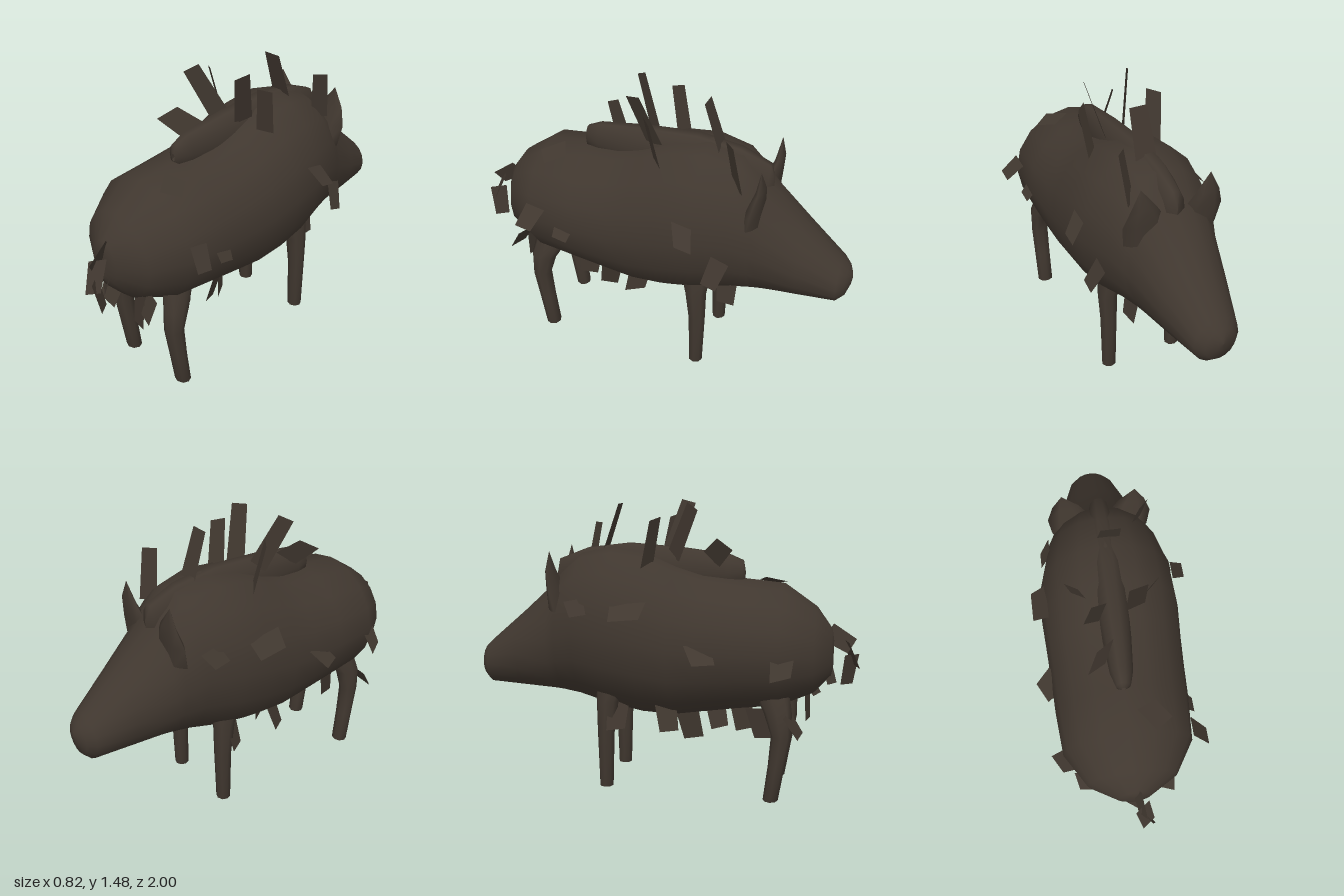
import * as THREE from 'three';

const hide = new THREE.MeshStandardMaterial({ color: 0x40372f, side: THREE.DoubleSide });
hide.name = 'dark brown hide';

// Skin a list of rings, each a function of angle giving a point
function loft(rings, sides) {
  const pos = [], index = [];
  rings.forEach((ring, i) => {
    for (let j = 0; j < sides; j++) {
      pos.push(...ring((j / sides) * Math.PI * 2));
      if (i === rings.length - 1) continue;
      const a = i * sides + j, b = i * sides + (j + 1) % sides;
      index.push(a, a + sides, b, b, a + sides, b + sides);
    }
  });
  const geo = new THREE.BufferGeometry();
  geo.setAttribute('position', new THREE.Float32BufferAttribute(pos, 3));
  geo.setIndex(index);
  geo.computeVertexNormals();
  return geo;
}

// Upright section across z: [z, top, bottom, halfWidth]
const section = ([z, top, bottom, w]) => (a) =>
  [Math.cos(a) * w, (top + bottom) / 2 + Math.sin(a) * (top - bottom) / 2, z];

// Level section: [x, y, z, rx, rz]
const slice = ([x, y, z, rx, rz]) => (a) => [x + Math.cos(a) * rx, y, z + Math.sin(a) * rz];

// Flat tapered bristle from base to tip; side is the half-width vector
function tuftGeometry(base, tip, side) {
  const b = new THREE.Vector3(...base), t = new THREE.Vector3(...tip), s = new THREE.Vector3(...side);
  const p = [b.clone().sub(s), b.clone().add(s),
    t.clone().addScaledVector(s, 0.8), t.clone().addScaledVector(s, -0.9)];
  const geo = new THREE.BufferGeometry().setFromPoints(p);
  geo.setIndex([0, 1, 2, 0, 2, 3]);
  geo.computeVertexNormals();
  return geo;
}

export function createModel() {
  const model = new THREE.Group();
  const add = (name, geo) => {
    const mesh = new THREE.Mesh(geo, hide);
    mesh.name = name;
    model.add(mesh);
    return mesh;
  };

  // Body, humped shoulders and long wedge head, rump to snout
  add('bodyAndHead', loft([
    [0.87, 0.8, 0.66, 0], [0.86, 0.86, 0.62, 0.08], [0.78, 0.97, 0.53, 0.22],
    [0.62, 1.08, 0.46, 0.32], [0.4, 1.1, 0.43, 0.335], [0.22, 1.125, 0.4, 0.34],
    [0.08, 1.17, 0.375, 0.345], [-0.08, 1.235, 0.38, 0.352], [-0.25, 1.255, 0.41, 0.34],
    [-0.42, 1.22, 0.455, 0.29], [-0.52, 1.13, 0.47, 0.25], [-0.57, 1.06, 0.475, 0.23],
    [-0.75, 0.895, 0.485, 0.178], [-0.94, 0.73, 0.495, 0.118], [-0.975, 0.695, 0.53, 0.08],
    [-0.995, 0.66, 0.59, 0.025], [-1, 0.63, 0.63, 0],
  ].map(section), 16));

  // Narrow mane ridge along the spine
  add('maneRidge', loft([
    [0.42, 1.14, 1.1, 0.01], [0.41, 1.19, 1.07, 0.035], [0.34, 1.22, 1.03, 0.055],
    [0.1, 1.25, 1.0, 0.075], [-0.18, 1.268, 1.0, 0.085], [-0.4, 1.24, 0.98, 0.07],
    [-0.55, 1.18, 0.94, 0.05], [-0.57, 1.1, 0.98, 0],
  ].map(section), 10));

  for (const s of [-1, 1]) {
    const side = s > 0 ? 'left' : 'right';
    const x = 0.19 * s + 0.012;
    // Legs, hoof to hip
    add(side + 'FrontLeg', loft([
      [x, 0.01, -0.265, 0, 0], [x, 0.012, -0.265, 0.038, 0.036],
      [x, 0.3, -0.265, 0.043, 0.045], [x, 0.47, -0.255, 0.05, 0.058],
      [x - 0.02 * s, 0.6, -0.24, 0.05, 0.09],
    ].map(slice), 8));
    add(side + 'HindLeg', loft([
      [x, 0, 0.59, 0, 0], [x, 0.002, 0.59, 0.043, 0.038],
      [x, 0.18, 0.615, 0.045, 0.042], [x, 0.34, 0.635, 0.048, 0.05],
      [x, 0.46, 0.615, 0.052, 0.07], [x - 0.04 * s, 0.6, 0.56, 0.05, 0.1],
    ].map(slice), 8));
    // Broad pointed ears rising out of the brow
    add(side + 'Ear', loft([
      [0.145 * s, 0.93, -0.51, 0.1, 0.05], [0.15 * s, 1.04, -0.53, 0.11, 0.035],
      [0.165 * s, 1.13, -0.55, 0.065, 0.02], [0.18 * s, 1.23, -0.55, 0, 0],
    ].map(slice), 6));
  }

  // Bristles: [base, tip, half-width vector]
  const groups = {
    maneTuft: [
      [[-0.15, 1.12, -0.06], [-0.185, 1.4, 0.0], [0.035, 0.01, 0.025]],
      [[-0.05, 1.2, 0.06], [-0.13, 1.46, 0.17], [0.025, 0.02, -0.035]],
      [[0.02, 1.22, -0.31], [0.025, 1.46, -0.23], [0.055, 0, 0]],
      [[0.07, 1.2, 0.02], [0.14, 1.47, 0.1], [0.015, 0.01, -0.045]],
      [[0.16, 1.1, -0.04], [0.2, 1.39, 0.01], [0.03, -0.01, -0.03]],
      [[0.17, 1.1, -0.44], [0.2, 1.35, -0.4], [0.03, 0, -0.03]],
      [[-0.04, 1.19, 0.25], [-0.13, 1.28, 0.33], [0.03, 0.03, -0.05]],
    ],
    flankTuft: [
      [[-0.31, 1.0, -0.11], [-0.39, 0.93, -0.11], [0, 0.01, 0.09]],
      [[-0.31, 0.81, 0.23], [-0.39, 0.73, 0.28], [0.03, 0, 0.06]],
      [[-0.28, 0.77, 0.64], [-0.355, 0.67, 0.64], [0.03, 0.01, 0.055]],
      [[-0.27, 1.0, -0.4], [-0.32, 0.93, -0.36], [0, 0.01, 0.05]],
      [[0.31, 0.78, -0.41], [0.365, 0.65, -0.37], [0, 0.015, 0.045]],
      [[0.33, 0.95, -0.22], [0.4, 0.86, -0.25], [0, 0.01, 0.05]],
      [[0.32, 0.85, 0.57], [0.4, 0.76, 0.61], [0, 0.01, 0.05]],
      [[0.33, 0.75, 0.42], [0.36, 0.71, 0.43], [0, 0.01, 0.045]],
      [[0.09, 1.085, 0.57], [0.18, 1.06, 0.52], [0.04, -0.015, 0.05]],
    ],
    bellyTuft: [
      [[0.05, 0.46, 0.4], [0.06, 0.29, 0.43], [0.02, 0.01, 0.055]],
      [[0.12, 0.44, 0.25], [0.09, 0.28, 0.29], [0.02, 0.01, 0.05]],
      [[0.0, 0.42, 0.12], [0.04, 0.23, 0.16], [0.035, 0, 0.055]],
      [[-0.13, 0.46, 0.5], [-0.1, 0.3, 0.54], [0.01, 0, 0.05]],
      [[-0.18, 0.48, 0.05], [-0.22, 0.34, 0.08], [0.03, 0, 0.05]],
      [[0.14, 0.52, -0.4], [0.16, 0.4, -0.4], [0.01, 0.01, 0.05]],
      [[-0.16, 0.48, -0.2], [-0.22, 0.33, -0.2], [0.03, 0, 0.05]],
    ],
    rumpTuft: [
      [[0.085, 0.55, 0.74], [0.08, 0.36, 0.75], [0.05, 0, 0.01]],
      [[0.17, 0.57, 0.73], [0.18, 0.47, 0.79], [0.055, 0, 0.02]],
      [[-0.2, 0.46, 0.66], [-0.19, 0.35, 0.73], [0.08, 0, 0.01]],
      [[0, 0.7, 0.83], [-0.01, 0.58, 0.87], [0.035, 0, 0.025]],
    ],
    tail: [
      [[0.01, 0.84, 0.84], [0.03, 0.77, 0.96], [0.02, 0.04, 0.025]],
      [[0.03, 0.8, 0.92], [0.06, 0.66, 0.98], [0.035, 0.01, -0.025]],
      [[0.05, 0.72, 0.96], [0.075, 0.56, 0.94], [0.025, 0, 0.035]],
    ],
  };
  for (const [name, list] of Object.entries(groups)) {
    list.forEach((t) => add(name, tuftGeometry(...t)));
  }
  return model;
}
